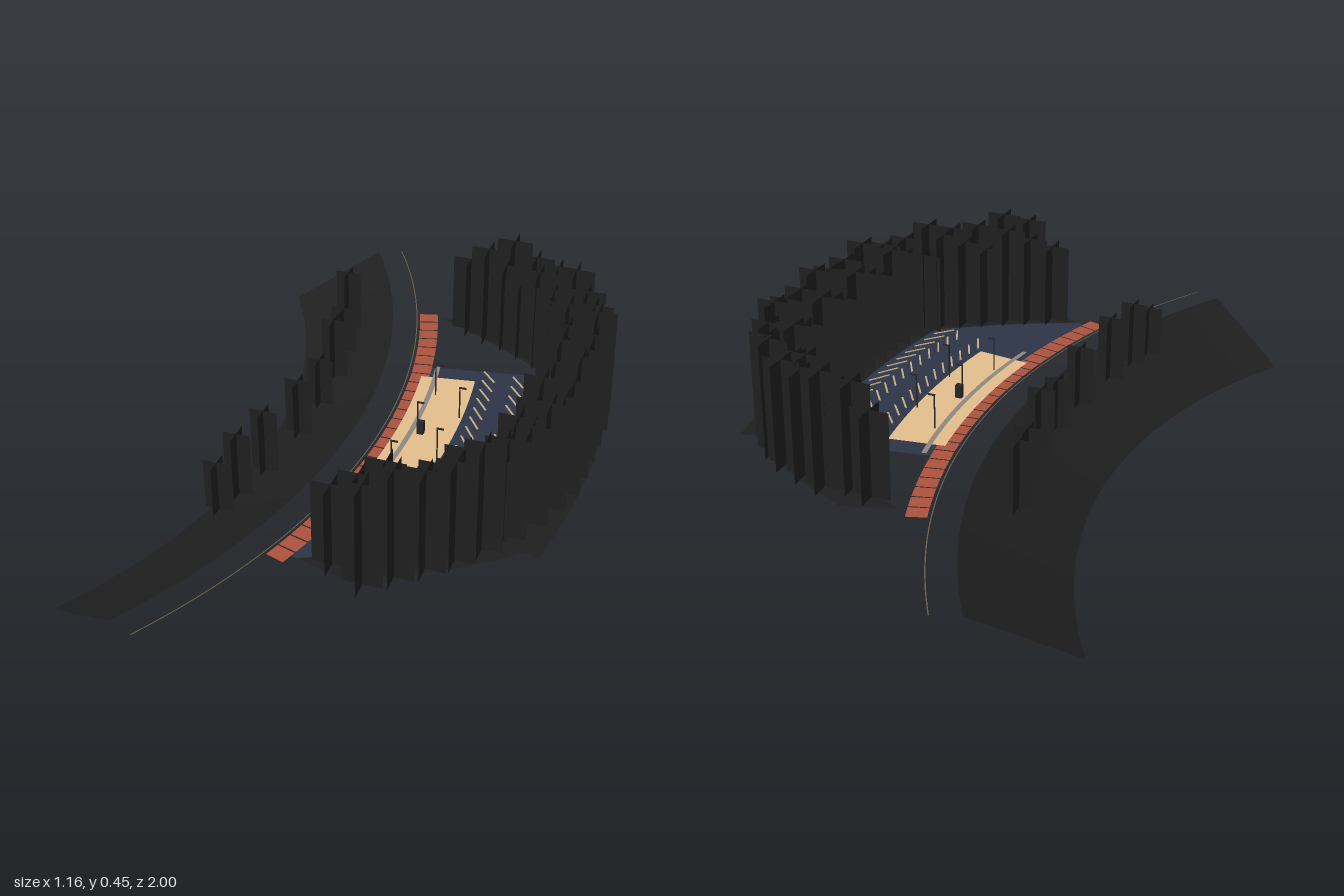
import * as THREE from 'three';

const CX = -1.972;          // common centre of all the arcs
const GROUND = 0.137;       // level of the plaza
const rad = THREE.MathUtils.degToRad;

const mat = (name, color) => {
  const m = new THREE.MeshStandardMaterial({ color, side: THREE.DoubleSide });
  m.name = name;
  return m;
};

const polar = (r, deg) => [CX + r * Math.cos(rad(deg)), r * Math.sin(rad(deg))];

// Curved strip between two radii, each a number or a function of t in 0..1
function band(r0, r1, a0, a1, y0, y1 = y0, n = 32) {
  const at = (r, t) => (typeof r === 'function' ? r(t) : r);
  const pos = [], idx = [];
  for (let i = 0; i <= n; i++) {
    const t = i / n, a = a0 + (a1 - a0) * t;
    const [x0, z0] = polar(at(r0, t), a), [x1, z1] = polar(at(r1, t), a);
    pos.push(x0, y0, z0, x1, y1, z1);
    if (i < n) {
      const k = i * 2;
      idx.push(k, k + 2, k + 1, k + 1, k + 2, k + 3);
    }
  }
  const g = new THREE.BufferGeometry();
  g.setAttribute('position', new THREE.Float32BufferAttribute(pos, 3));
  g.setIndex(idx);
  g.computeVertexNormals();
  return g;
}

export function createModel() {
  const root = new THREE.Group();
  root.name = 'curvedPlaza';
  const dark = mat('darkFoliage', 0x1f1f1f);
  const navy = mat('navyPaving', 0x2d3448);
  const tan = mat('tanPaving', 0xe4bf8c);
  const brick = mat('redBrick', 0xac523e);
  const grey = mat('greyStone', 0x8f8781);
  const line = mat('paleMarking', 0xc4ab84);
  const rail = mat('brownEdge', 0x6b5c4a);
  const metal = mat('lampMetal', 0x26262a);

  const add = (parent, name, geo, material) => {
    const m = new THREE.Mesh(geo, material);
    m.name = name;
    parent.add(m);
    return m;
  };
  const group = (name) => {
    const g = new THREE.Group();
    g.name = name;
    root.add(g);
    return g;
  };

  // Sloping embankment and thin edge line
  add(root, 'embankment', band(1.621, 1.893, -31, 31, 0, GROUND, 64), dark);
  add(root, 'edgeLine', band(1.965, 1.968, -30.6, 30.6, GROUND, GROUND, 64), rail);

  // Brick walk with narrow open joints
  const walk = group('brickWalk');
  const bricks = 26, step = 37 / bricks;
  for (let i = 0; i < bricks; i++) {
    const a = -18.5 + i * step;
    add(walk, 'brickPanel', band(1.976, 2.03, a + 0.06, a + step - 0.06, GROUND, GROUND, 2), brick);
  }

  // Paved court: the left wing narrows along the hedge
  const mix = (a, b, bulge = 0) => (t) => a + (b - a) * t + bulge * 4 * t * (1 - t);
  add(root, 'court', band(2.03, 2.37, -9.6, 9.6, GROUND), navy);
  add(root, 'courtWing', band(2.03, mix(2.37, 2.05), 9.6, 17.5, GROUND), navy);
  add(root, 'forecourt', band(2.007, 2.163, -8, 8, GROUND + 0.003), tan);
  add(root, 'stoneKerb', band(2.041, 2.055, -9.6, 9.6, GROUND + 0.006), grey);

  // Slanted bay markings in three rows
  const bays = group('bayMarkings');
  for (const [r, slant, shift] of [[2.2, 1, 0], [2.285, 1, 0.4], [2.332, -1, 0.4]]) {
    for (let i = 0; i < 15; i++) {
      const a = -8.8 + i * 1.28 + shift;
      const [x, z] = polar(r, a);
      const m = add(bays, 'bayLine', new THREE.BoxGeometry(0.065, 0.002, 0.005), line);
      m.position.set(x, GROUND + 0.003, z);
      m.rotation.y = -rad(a) - slant;
    }
  }

  // Lamp posts with short arms, and a small central kiosk
  const lamps = group('lampPosts');
  for (const [r, a] of [[2.065, -5.5], [2.065, 5.5], [2.155, -2.8], [2.155, 2.8], [2.065, 0]]) {
    const [x, z] = polar(r, a);
    add(lamps, 'post', new THREE.CylinderGeometry(0.002, 0.002, 0.1, 6), metal)
      .position.set(x, GROUND + 0.05, z);
    add(lamps, 'arm', new THREE.BoxGeometry(0.02, 0.004, 0.004), metal)
      .position.set(x + 0.008, GROUND + 0.1, z);
  }
  add(root, 'kiosk', new THREE.BoxGeometry(0.018, 0.04, 0.018), metal)
    .position.set(0.102, GROUND + 0.02, 0);

  // Planting beds: a back bed and two tapering side beds
  const bedY = GROUND + 0.001;
  add(root, 'backBed', band(2.365, 2.549, -9.65, 9.65, bedY), dark);
  add(root, 'leftBed', band(mix(2.365, 2.049), mix(2.507, 2.194, 0.012), 9.65, 17.5, bedY), dark);
  add(root, 'rightBed', band(mix(2.049, 2.365), mix(2.194, 2.507, 0.012), -17.5, -9.65, bedY), dark);

  // Tree made of two crossed upright planes
  const tree = (parent, x, z, top, w) => {
    for (const turn of [0, Math.PI / 2]) {
      const m = add(parent, 'treePlane', new THREE.PlaneGeometry(w, top - GROUND), dark);
      m.position.set(x, (GROUND + top) / 2, z);
      m.rotation.y = turn;
    }
  };

  // Two evenly spaced tree rows following the beds
  const hedge = group('hedgeTrees');
  const row = (points, n, tops) => {
    const curve = new THREE.CatmullRomCurve3(points.map(([x, z]) => new THREE.Vector3(x, 0, z)));
    curve.getSpacedPoints(n - 1).forEach((p, i) => tree(hedge, p.x, p.z, tops[i % tops.length], 0.105));
  };
  row([[0.165, 0.66], [0.228, 0.61], [0.39, 0.45], [0.512, 0.2], [0.527, -0.035],
    [0.512, -0.275], [0.39, -0.49], [0.2, -0.588]], 20, [0.43, 0.455, 0.43]);
  row([[0.07, 0.61], [0.22, 0.53], [0.4, 0.38], [0.45, 0],
    [0.4, -0.38], [0.22, -0.52], [0.07, -0.588]], 25, [0.375, 0.4, 0.43]);

  // Row of smaller trees along the embankment: z and top of each
  const bank = group('bankTrees');
  const bankTrees = [[0.49, 0.28], [0.41, 0.32], [0.29, 0.32], [0.1, 0.305],
    [-0.06, 0.28], [-0.21, 0.32], [-0.35, 0.28], [-0.49, 0.32]];
  for (const [z, top] of bankTrees) tree(bank, CX + Math.sqrt(1.762 ** 2 - z * z), z, top, 0.075);
  return root;
}
